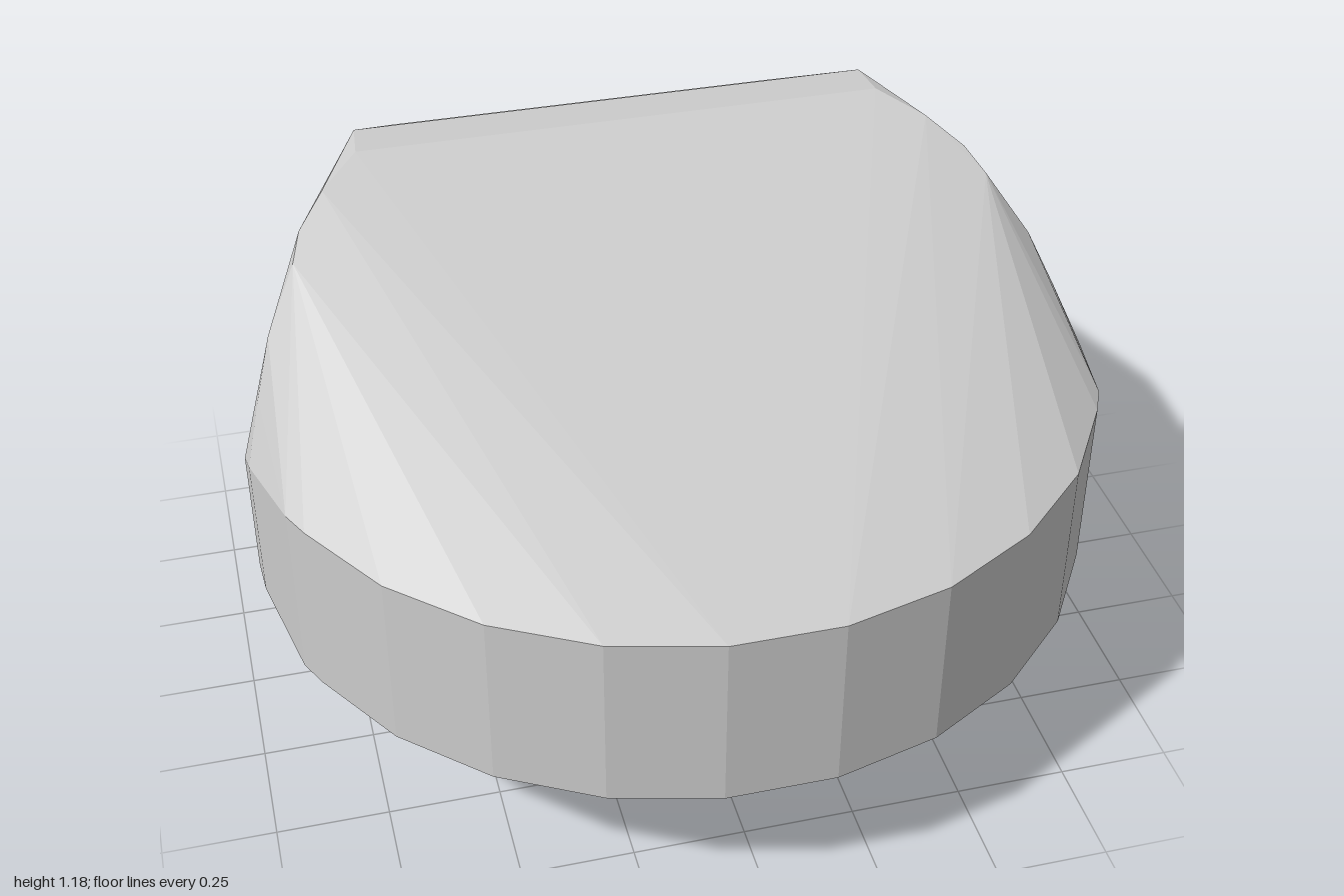
import * as THREE from 'three';
import { ConvexGeometry } from 'three/addons/geometries/ConvexGeometry.js';

const MID = 0.59; // height of the horizontal mirror plane

// Half outline points as [x, height above mid plane, z]
const cheek = [
  [0.945, 0.17, 0.17], [0.95, 0.15, 0.11], [0.905, 0.28, 0.08], [0.865, 0.38, 0],
  [0.79, 0.49, -0.1], [0.765, 0.52, -0.18], [0.7, 0.56, -0.27], [0.61, 0.59, -0.37],
];
const rearCheek = [
  [0.6, 0.59, -0.47], [0.635, 0.44, -0.58], [0.665, 0.3, -0.68], [0.7, 0.13, -0.76],
];
const back = [[0.47, 0.41, -0.8], [0.41, 0.31, -0.9], [0.4, 0.21, -0.95]];

// The two rear corners differ slightly
const leftCorner = [[0.7, 0.04, -0.79], [0.715, 0.06, -0.74], [0.42, 0.065, -1]];
const rightCorner = [[0.67, 0.06, -0.78], [0.53, 0.07, -0.92], [0.41, 0.1, -0.98], [0.31, 0.065, -1]];

export function createModel() {
  const group = new THREE.Group();
  const points = [];

  // Round front rim
  const rim = [];
  for (let i = 0; i < 5; i++) {
    const a = THREE.MathUtils.degToRad(7.2 + i * 14.4);
    rim.push([0.95 * Math.sin(a), 0.205, 0.06 + 0.945 * Math.cos(a)]);
  }
  rim.push([0.89, 0.205, 0.4]);

  // Mirror every point left to right and top to bottom
  for (const side of [1, -1]) {
    const corner = side > 0 ? leftCorner : rightCorner;
    for (const [x, h, z] of [...rim, ...cheek, ...rearCheek, ...back, ...corner]) {
      points.push(new THREE.Vector3(side * x, MID + h, z), new THREE.Vector3(side * x, MID - h, z));
    }
  }

  const body = new THREE.Mesh(
    new ConvexGeometry(points),
    new THREE.MeshStandardMaterial({ color: 0xcccccc, flatShading: true })
  );
  body.name = 'facetedWedgeBody';
  group.add(body);
  return group;
}
